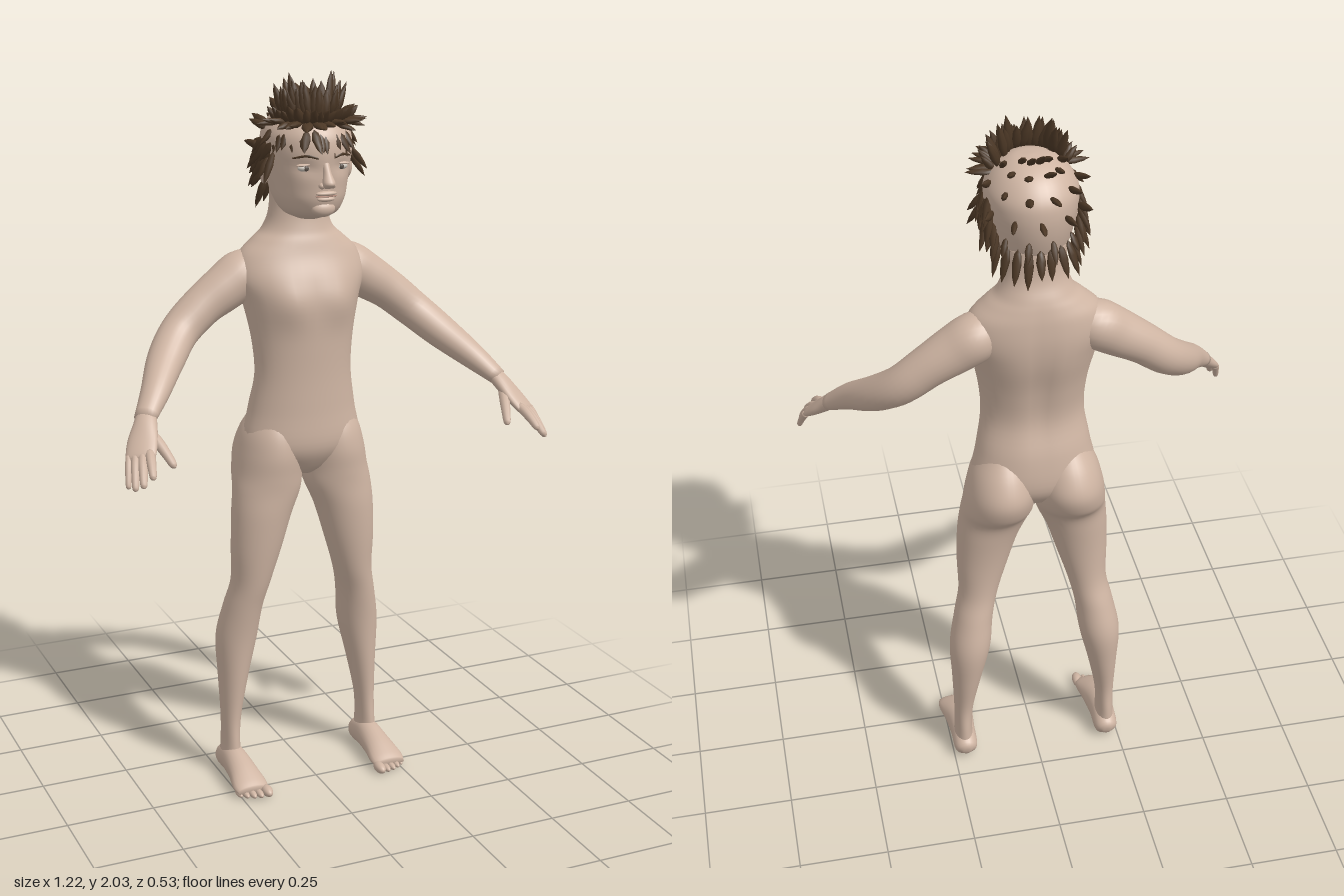
import * as THREE from 'three';
import { mergeGeometries } from 'three/addons/utils/BufferGeometryUtils.js';

const mat = (name, color) => {
  const m = new THREE.MeshStandardMaterial({ color });
  m.name = name;
  return m;
};
const V = (x, y, z) => new THREE.Vector3(x, y, z);

// Smooth closed skin over elliptical sections [x, y, z, ru, rv].
// u follows `side`; with `level` all sections stay horizontal.
function loft(rows, { side = V(1, 0, 0), level = false, n = 24, sub = 5 } = {}) {
  const path = new THREE.CatmullRomCurve3(rows.map(r => V(r[0], r[1], r[2])), false, 'catmullrom');
  const size = new THREE.CatmullRomCurve3(rows.map(r => V(r[3], r[4], 0)), false, 'catmullrom');
  const steps = (rows.length - 1) * sub, pos = [], idx = [];
  const up = V(0, Math.sign(rows[rows.length - 1][1] - rows[0][1]), 0);
  for (let i = 0; i <= steps; i++) {
    const c = path.getPoint(i / steps), r = size.getPoint(i / steps);
    const t = level ? up : path.getTangent(i / steps);
    const u = side.clone().addScaledVector(t, -side.dot(t)).normalize();
    const v = t.clone().cross(u);
    for (let j = 0; j < n; j++) {
      const a = j / n * Math.PI * 2;
      const p = c.clone().addScaledVector(u, Math.cos(a) * r.x).addScaledVector(v, Math.sin(a) * r.y);
      pos.push(p.x, p.y, p.z);
      if (i < steps) {
        const k = (j + 1) % n, b = i * n;
        idx.push(b + j, b + k, b + n + j, b + k, b + n + k, b + n + j);
      }
    }
  }
  const first = rows[0], last = rows[rows.length - 1], s = (steps + 1) * n;
  pos.push(...first.slice(0, 3), ...last.slice(0, 3));
  for (let j = 0; j < n; j++) {
    const k = (j + 1) % n;
    idx.push(s, k, j, s + 1, steps * n + j, steps * n + k);
  }
  const g = new THREE.BufferGeometry();
  g.setAttribute('position', new THREE.Float32BufferAttribute(pos, 3));
  g.setIndex(idx);
  g.computeVertexNormals();
  return g;
}

// Upright sections given as [y, centreX, halfWidth, frontZ, backZ]
const upright = (rows, s = 1) => loft(
  rows.map(([y, x, w, f, b]) => [x * s, y, (f + b) / 2, w, (f - b) / 2]), { level: true, n: 36 });

// Move vertices in z by a rule
function sculpt(g, rule) {
  const p = g.attributes.position;
  for (let i = 0; i < p.count; i++) p.setZ(i, p.getZ(i) + rule(p.getX(i), p.getY(i), p.getZ(i)));
  g.computeVertexNormals();
  return g;
}
const bump = (d, w) => Math.exp(-((d / w) ** 2));

export function createModel() {
  const model = new THREE.Group();
  const skin = mat('skin', 0xcfb5a3), hairMat = mat('hair brown', 0x4b3725);
  const lipMat = mat('lip', 0xa88273), eyeMat = mat('eye', 0xc9c2b8), irisMat = mat('iris', 0x5a5048);
  const add = (name, g, m = skin) => {
    const mesh = new THREE.Mesh(g, m);
    mesh.name = name;
    model.add(mesh);
    return mesh;
  };
  const ball = (name, p, r, m = skin) => {
    const b = add(name, new THREE.SphereGeometry(1, 20, 14), m);
    b.position.set(...p);
    b.scale.set(...r);
    return b;
  };

  // Torso and neck, with a shallow spine groove and soft chest
  add('torso', sculpt(upright([
    [0.91, 0, 0.03, -0.06, -0.14], [0.94, 0, 0.11, -0.03, -0.18], [1.0, 0, 0.17, 0, -0.215],
    [1.1, 0, 0.156, 0, -0.21], [1.2, 0, 0.14, 0, -0.187], [1.3, 0, 0.146, 0.004, -0.2],
    [1.4, 0, 0.166, 0.008, -0.225], [1.47, 0, 0.187, -0.005, -0.232], [1.53, 0, 0.172, -0.028, -0.228],
    [1.57, 0, 0.132, -0.04, -0.22], [1.6, 0, 0.1, -0.05, -0.21], [1.65, 0, 0.083, -0.058, -0.19],
    [1.74, 0, 0.08, -0.06, -0.185]]), (x, y, z) => {
    if (z < -0.12) return 0.014 * bump(x, 0.03) * bump(y - 1.33, 0.2);
    return 0.014 * bump(Math.abs(x) - 0.075, 0.05) * bump(y - 1.41, 0.06);
  }));

  // Head with recessed eye sockets
  add('head', sculpt(upright([
    [1.635, 0, 0.03, -0.02, -0.1], [1.655, 0, 0.07, 0.04, -0.14], [1.69, 0, 0.092, 0.062, -0.17],
    [1.73, 0, 0.103, 0.066, -0.19], [1.78, 0, 0.113, 0.069, -0.205], [1.83, 0, 0.12, 0.07, -0.21],
    [1.87, 0, 0.115, 0.06, -0.202], [1.91, 0, 0.088, 0.025, -0.17], [1.935, 0, 0.05, -0.02, -0.125],
    [1.942, 0, 0.008, -0.065, -0.08]]), (x, y, z) =>
    z > 0 ? -0.008 * bump(Math.abs(x) - 0.05, 0.025) * bump(y - 1.782, 0.018) : 0));

  // Nose, lips
  add('nose', loft([[0, 1.8, 0.06, 0.009, 0.008], [0, 1.77, 0.072, 0.011, 0.013],
    [0, 1.745, 0.084, 0.017, 0.018], [0, 1.732, 0.078, 0.014, 0.012]], { level: true, n: 16 }));
  ball('upperLip', [0, 1.716, 0.066], [0.03, 0.007, 0.011]);
  ball('lowerLip', [0, 1.701, 0.064], [0.025, 0.007, 0.011]);
  ball('mouthLine', [0, 1.709, 0.067], [0.031, 0.0025, 0.01], lipMat);
  ball('chin', [0, 1.673, 0.045], [0.034, 0.022, 0.02]);

  for (const s of [-1, 1]) {
    const side = s > 0 ? 'left' : 'right';
    const m = rows => rows.map(([x, ...rest]) => [x * s, ...rest]);

    // Face details
    ball(side + 'Nostril', [0.015 * s, 1.737, 0.072], [0.009, 0.008, 0.011]);
    ball(side + 'Eye', [0.05 * s, 1.782, 0.042], [0.021, 0.009, 0.012], eyeMat);
    ball(side + 'Iris', [0.05 * s, 1.782, 0.0515], [0.007, 0.007, 0.0035], irisMat);
    const lid = ball(side + 'Eyelid', [0.051 * s, 1.791, 0.045], [0.025, 0.004, 0.011]);
    lid.rotation.z = -0.05 * s;
    add(side + 'Eyebrow', loft(m([[0.022, 1.808, 0.066, 0.003, 0.003], [0.05, 1.815, 0.056, 0.004, 0.003],
      [0.082, 1.808, 0.033, 0.002, 0.002]]), { side: V(0, 1, 0), n: 8 }), hairMat);
    const ear = ball(side + 'Ear', [0.118 * s, 1.765, -0.075], [0.014, 0.036, 0.023]);
    ear.rotation.y = 0.35 * s;

    // Leg
    add(side + 'Leg', upright([
      [1.1, 0.085, 0.05, -0.045, -0.18], [1.04, 0.09, 0.08, -0.015, -0.225],
      [0.98, 0.094, 0.094, -0.004, -0.247], [0.92, 0.1, 0.098, -0.008, -0.23],
      [0.87, 0.108, 0.097, -0.012, -0.192], [0.8, 0.126, 0.086, -0.015, -0.177],
      [0.7, 0.143, 0.072, -0.025, -0.167], [0.6, 0.158, 0.056, -0.04, -0.168],
      [0.52, 0.176, 0.055, -0.056, -0.187], [0.42, 0.191, 0.058, -0.072, -0.206],
      [0.3, 0.203, 0.042, -0.082, -0.194], [0.18, 0.213, 0.028, -0.09, -0.175],
      [0.1, 0.216, 0.025, -0.085, -0.178], [0.04, 0.216, 0.03, -0.08, -0.18]], s));

    // Foot and toes, big toe on the inside
    add(side + 'Foot', loft(m([
      [0.215, 0.03, -0.19, 0.012, 0.012], [0.215, 0.035, -0.172, 0.033, 0.034],
      [0.215, 0.045, -0.11, 0.036, 0.045], [0.215, 0.037, -0.04, 0.042, 0.037],
      [0.216, 0.024, 0.02, 0.05, 0.024], [0.216, 0.017, 0.05, 0.045, 0.014]])));
    for (let i = 0; i < 5; i++) {
      const x = [0.178, 0.2, 0.219, 0.237, 0.253][i], r = i ? 0.0105 - i * 0.0005 : 0.015;
      ball(side + 'Toe' + (i + 1), [x * s, r, 0.058 - i * i * 0.0018], [r, r, i ? 0.024 : 0.029]);
    }

    // Arm
    add(side + 'Arm', loft(m([
      [0.1, 1.5, -0.14, 0.045, 0.05], [0.155, 1.477, -0.143, 0.068, 0.066], [0.21, 1.443, -0.14, 0.064, 0.064],
      [0.28, 1.397, -0.135, 0.057, 0.056], [0.35, 1.338, -0.118, 0.054, 0.052], [0.41, 1.28, -0.06, 0.052, 0.047],
      [0.47, 1.22, 0.025, 0.04, 0.036], [0.52, 1.168, 0.085, 0.03, 0.023]]), { side: V(0.8 * s, -0.2, -0.45) }));

    // Hand
    const across = V(0.8 * s, -0.2, -0.45);
    add(side + 'Palm', loft(m([
      [0.512, 1.178, 0.072, 0.026, 0.02], [0.525, 1.155, 0.1, 0.033, 0.021], [0.543, 1.125, 0.132, 0.041, 0.018],
      [0.56, 1.096, 0.166, 0.041, 0.014], [0.566, 1.086, 0.177, 0.032, 0.007]]), { side: across }));
    const digits = {
      Thumb: [0.52, 1.142, 0.112, 0.483, 1.068, 0.21, 0.014],
      Index: [0.538, 1.105, 0.172, 0.556, 1.058, 0.252, 0.0125],
      Middle: [0.555, 1.098, 0.168, 0.58, 1.036, 0.246, 0.0125],
      Ring: [0.571, 1.094, 0.16, 0.596, 1.024, 0.226, 0.012],
      Pinky: [0.585, 1.092, 0.148, 0.605, 1.022, 0.196, 0.01]
    };
    for (const [name, [ax, ay, az, bx, by, bz, r]] of Object.entries(digits)) {
      const at = (t, k, lift = 0) => [ax + (bx - ax) * t, ay + (by - ay) * t + lift, az + (bz - az) * t, r * k, r * k];
      add(side + name, loft(m([at(0, 1), at(0.35, 1.05, 0.005), at(0.7, 0.9, 0.004), at(0.93, 0.7), at(1, 0.2)]),
        { side: across, n: 10, sub: 3 }));
    }
  }

  // Hair: pointed tufts set on the skull by azimuth (0 = front) and elevation in degrees
  const profile = [[0, 0], [0.7, 0.12], [1, 0.4], [0.65, 0.75], [0, 1]].map(p => new THREE.Vector2(...p));
  const tufts = [];
  let seed = 7;
  const rnd = () => (seed = (seed * 16807) % 2147483647) / 2147483647 - 0.5;
  const tuft = (az, el, out, flow, len, w = 0.013) => {
    const a = THREE.MathUtils.degToRad(az), e = THREE.MathUtils.degToRad(el);
    const nrm = V(Math.sin(a) * Math.cos(e), Math.sin(e), Math.cos(a) * Math.cos(e));
    const base = nrm.clone().multiply(V(0.118, 0.14, 0.138)).add(V(0, 1.8, -0.068));
    const dir = nrm.clone().multiplyScalar(out).add(V(...flow)).add(V(rnd(), rnd(), rnd()).multiplyScalar(0.25)).normalize();
    const x = dir.clone().cross(nrm).normalize(), z = x.clone().cross(dir);
    const l = len * (1 + rnd() * 0.3);
    const g = new THREE.LatheGeometry(profile, 7);
    g.applyMatrix4(new THREE.Matrix4().makeBasis(x.multiplyScalar(w), dir.multiplyScalar(l), z.multiplyScalar(w * 0.65)).setPosition(base));
    tufts.push(g);
  };
  // Fringe, front band and raised crown
  for (let i = -10; i <= 10; i++) {
    const az = i * 8;
    tuft(az, 37, 0.4, [0, -0.8, 0], 0.075);
    tuft(az + 4, 43, 0.7, [0, -0.5, 0], 0.07);
    tuft(az, 42, 0.9, [0, 0.1, 0], 0.055, 0.015);
    tuft(az + 4, 50, 0.4, [0, 0.5, -0.2], 0.085);
    if (i % 2) tuft(az * 0.9, 58, 0.3, [0, 0.7, -0.35], 0.1, 0.014);
  }
  // Sides, swept down and back
  for (const s of [-1, 1]) {
    for (let r = 0; r < 5; r++)
      for (let c = 0; c < 4; c++)
        tuft(s * (68 + c * 11 + r * 5), 30 - r * 9 - c * 2, 0.3, [0, -0.8, -0.5], 0.075, 0.014);
    tuft(s * 72, 8, 0.5, [0, -0.9, 0.1], 0.085, 0.014);
    tuft(s * 80, 2, 0.6, [0, -0.8, 0], 0.07, 0.014);
  }
  // Nape
  for (let i = -4; i <= 4; i++) {
    tuft(180 + i * 15, -26, 0.3, [0, -0.9, -0.15], 0.09);
    if (i % 2) tuft(180 + i * 15, -14, 0.4, [0, -0.8, -0.2], 0.06, 0.01);
  }
  // Sparse tufts over the top and back
  for (const [el, count, span] of [[72, 4, 100], [55, 6, 180], [32, 6, 170], [8, 5, 130]])
    for (let i = 0; i < count; i++)
      tuft(180 + (i / (count - 1) - 0.5) * span, el, 0.5, [0, 0.05, -0.7], 0.07, 0.012);
  add('hair', mergeGeometries(tufts), hairMat);

  // Stand on the ground, centred front to back
  const box = new THREE.Box3().setFromObject(model);
  model.children.forEach(c => { c.position.y -= box.min.y; });
  return model;
}
